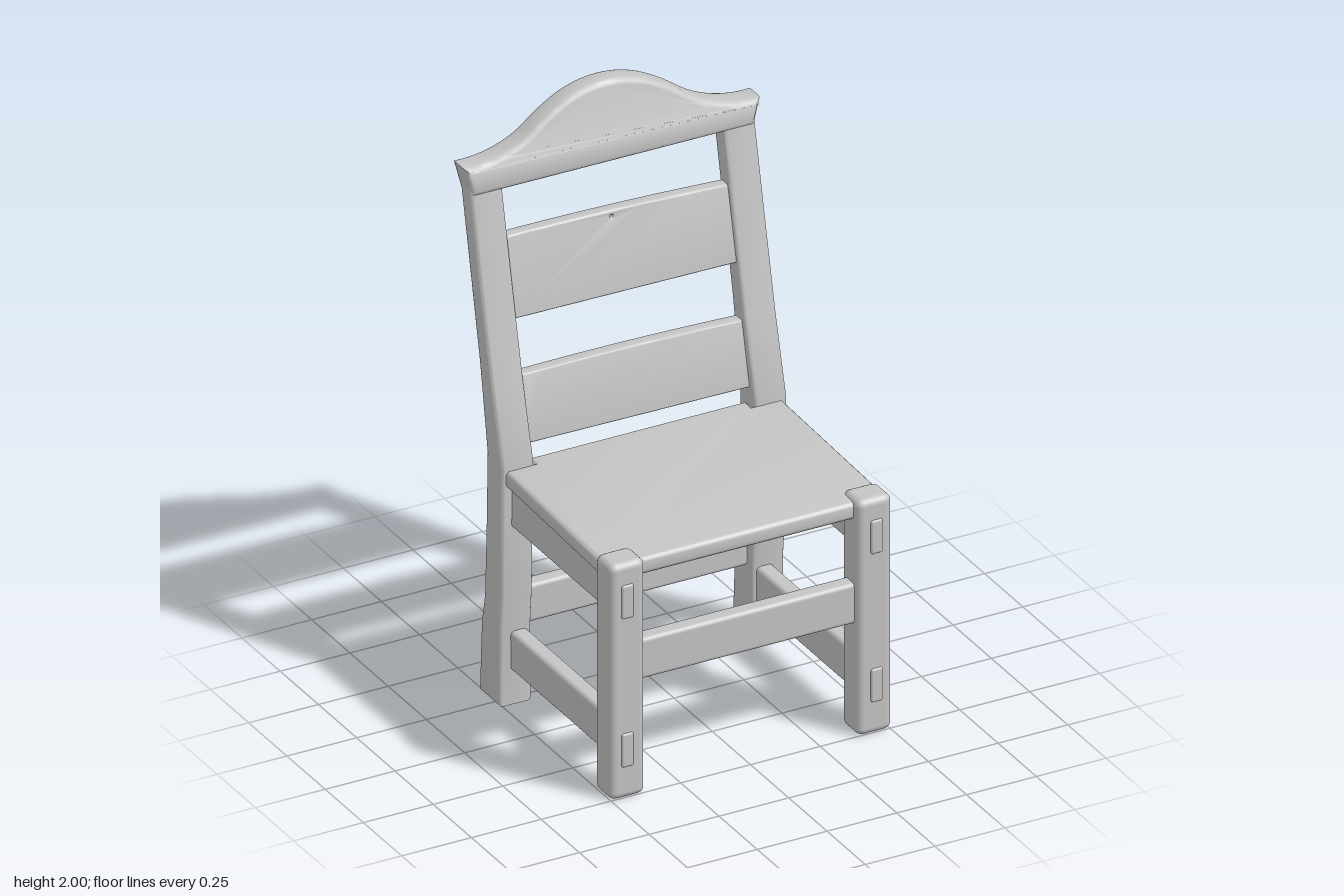
import * as THREE from 'three';
import { toCreasedNormals } from 'three/addons/utils/BufferGeometryUtils.js';
import { RoundedBoxGeometry } from 'three/addons/geometries/RoundedBoxGeometry.js';

export function createModel() {
  const chair = new THREE.Group();
  chair.name = 'chair';
  const wood = new THREE.MeshStandardMaterial({ color: 0xc4c4c4 });
  wood.name = 'plain grey wood';

  const add = (name, geometry) => {
    const mesh = new THREE.Mesh(geometry, wood);
    mesh.name = name;
    chair.add(mesh);
    return mesh;
  };

  // Rounded bar given by its limits on each axis
  const bar = (name, [x0, x1], [y0, y1], [z0, z1], r = 0.015) => {
    const g = new RoundedBoxGeometry(x1 - x0, y1 - y0, z1 - z0, 3, r);
    g.translate((x0 + x1) / 2, (y0 + y1) / 2, (z0 + z1) / 2);
    return add(name, g);
  };

  // Softly bevelled board, centred on z = 0, keeping its outline size
  const board = (shape, depth, bevel) => {
    const g = new THREE.ExtrudeGeometry(shape, {
      depth: depth - 2 * bevel, bevelEnabled: true, bevelThickness: bevel,
      bevelSize: bevel, bevelOffset: -bevel, bevelSegments: 3, curveSegments: 16,
    });
    return g.translate(0, 0, bevel - depth / 2);
  };

  // Moves every vertex by a rule
  const warp = (g, rule) => {
    const p = g.attributes.position;
    const v = new THREE.Vector3();
    for (let i = 0; i < p.count; i++) {
      rule(v.fromBufferAttribute(p, i));
      p.setXYZ(i, v.x, v.y, v.z);
    }
    g.computeVertexNormals();
    return g;
  };

  // Rear leg outline seen from the side, as (z, y)
  const rearProfile = new THREE.Shape([
    [-0.345, 0.005], [-0.332, 0.26], [-0.312, 0.36], [-0.302, 0.6], [-0.295, 0.88],
    [-0.345, 1.18], [-0.4, 1.44], [-0.47, 1.77], [-0.402, 1.77], [-0.33, 1.44],
    [-0.26, 1.13], [-0.19, 0.86], [-0.2, 0.4], [-0.21, 0.28], [-0.208, 0.005],
  ].map(([z, y]) => new THREE.Vector2(z, y)));

  // Legs, pegs and side rails on both sides
  for (const s of [-1, 1]) {
    const side = s > 0 ? 'left' : 'right';
    const span = (a, b) => (s > 0 ? [a, b] : [-b, -a]);
    bar(side + 'FrontLeg', span(0.38, 0.505), [0.005, 0.845], [0.4, 0.51], 0.025);
    for (const y of [0.12, 0.65])
      bar(side + 'FrontPeg', span(0.425, 0.468), [y, y + 0.12], [0.49, 0.516], 0.008);

    const leg = board(rearProfile, 0.115, 0.012);
    leg.rotateY(-Math.PI / 2).translate(s * 0.453, 0, 0);
    add(side + 'RearLeg', toCreasedNormals(leg, 0.6));

    bar(side + 'SeatRail', span(0.41, 0.475), [0.645, 0.8], [-0.22, 0.42], 0.012);
    const lower = bar(side + 'LowerRail', span(0.41, 0.47), [0.125, 0.265], [-0.24, 0.42], 0.015);
    lower.name = side + 'LowerRail';
  }

  // Cross rails
  bar('frontStretcher', [-0.4, 0.4], [0.4, 0.545], [0.425, 0.485]);
  bar('rearStretcher', [-0.4, 0.4], [0.26, 0.395], [-0.3, -0.24]);

  // Dished seat, notched around the rear legs and slightly narrower at the front
  const seatShape = new THREE.Shape();
  [[-0.5, -0.48], [0.5, -0.48], [0.5, 0.2], [0.39, 0.2], [0.39, 0.24],
    [-0.39, 0.24], [-0.39, 0.2], [-0.5, 0.2]]
    .forEach(([x, y], i) => (i ? seatShape.lineTo(x, y) : seatShape.moveTo(x, y)));
  const seatBase = toCreasedNormals(board(seatShape, 0.06, 0.015).rotateX(-Math.PI / 2), 0.6);
  const seatRule = (v) => {
    const t = (v.z + 0.24) / 0.73;
    v.x *= 1 - 0.035 * Math.sin(Math.PI * Math.min(1, Math.max(0, t)));
    v.y += 0.824 - 0.024 * t;
  };
  const seat = seatBase.clone();
  {
    const p = seat.attributes.position, v = new THREE.Vector3();
    for (let i = 0; i < p.count; i++) {
      seatRule(v.fromBufferAttribute(p, i));
      p.setXYZ(i, v.x, v.y, v.z);
    }
  }
  add('seat', toCreasedNormals(seat, 0.6));

  // Back slats, leaning with the rear legs; the upper one has a small hole
  const slat = (name, y0, yRight, yLeft, zMid, hole) => {
    const shape = new THREE.Shape();
    shape.moveTo(-0.42, y0 + 0.004);
    shape.lineTo(0.42, y0 - 0.002);
    shape.lineTo(0.42, yLeft);
    shape.quadraticCurveTo(0, (yRight + yLeft) / 2 + 0.012, -0.42, yRight);
    if (hole) {
      const h = new THREE.Path();
      h.absarc(-0.02, 1.555, 0.006, 0, Math.PI * 2, true);
      shape.holes.push(h);
    }
    const mid = (y0 + yRight) / 2;
    const g = board(shape, 0.042, 0.006);
    warp(g, (v) => { v.z += zMid - (v.y - mid) * 0.23; });
    add(name, toCreasedNormals(g, 0.6));
  };
  slat('lowerSlat', 0.905, 1.13, 1.12, -0.275, false);
  slat('upperSlat', 1.31, 1.58, 1.56, -0.365, true);

  // Crest rail with flared ends and an arched top, thinning as it leans back
  const crest = new THREE.Shape();
  crest.moveTo(-0.505, 1.738);
  crest.lineTo(0.505, 1.735);
  crest.lineTo(0.53, 1.825);
  crest.bezierCurveTo(0.46, 1.82, 0.37, 1.835, 0.29, 1.885);
  crest.bezierCurveTo(0.2, 1.95, 0.12, 2.0, 0, 2.0);
  crest.bezierCurveTo(-0.12, 2.0, -0.2, 1.95, -0.29, 1.89);
  crest.bezierCurveTo(-0.37, 1.845, -0.46, 1.835, -0.53, 1.84);
  crest.closePath();
  const crestGeometry = warp(board(crest, 0.09, 0.018), (v) => {
    const up = Math.max(0, v.y - 1.8);
    const bow = 0.006 * (1 - (v.x / 0.53) ** 2);
    v.z = v.z * (1 - up * 0.8) - 0.434 - up * 0.2 - bow;
  });
  add('crestRail', toCreasedNormals(crestGeometry, 0.7));

  return chair;
}
